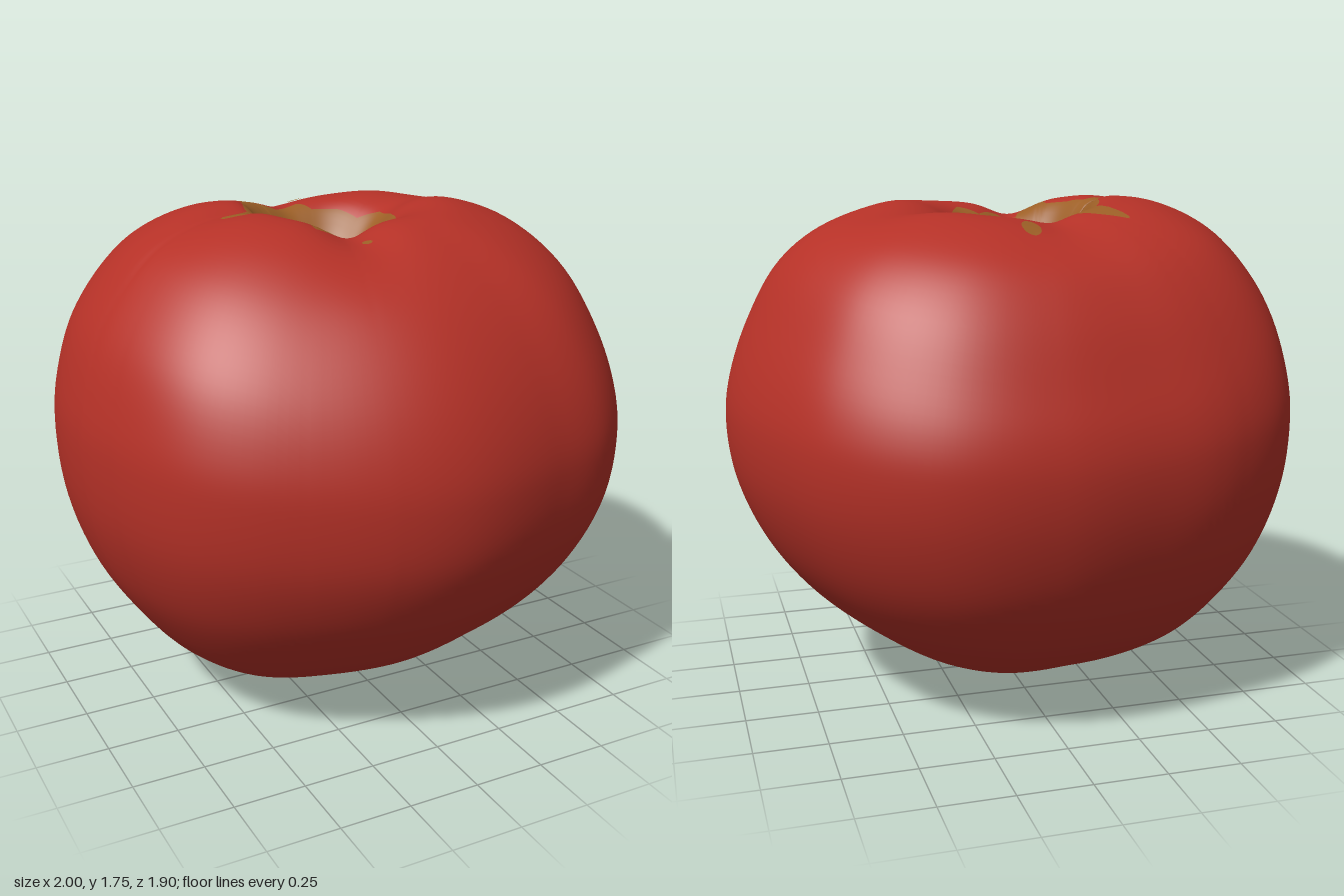
import * as THREE from 'three';

const PIT = [-0.04, -0.06];   // centre of the stem hollow (x, z)
const BASE = [-0.08, 0];      // lowest point (x, z)
const COLS = 180, PIT_ROWS = 16, SKIN_ROWS = 80;

// widest outline of the fruit seen from above (x, z)
const OUTLINE = [
  [1, -0.1], [0.96, 0.21], [0.83, 0.55], [0.62, 0.78], [0.35, 0.88], [-0.03, 0.95],
  [-0.45, 0.84], [-0.8, 0.6], [-0.96, 0.27], [-1, -0.08], [-0.93, -0.37], [-0.8, -0.63],
  [-0.56, -0.8], [-0.24, -0.9], [0.08, -0.95], [0.46, -0.9], [0.75, -0.7], [0.9, -0.45],
];

// ragged edge of the brown scar around the stem hollow (x, z)
const SCAR = [
  [0.22, 0], [0.17, 0.11], [0.13, 0.19], [0.05, 0.18], [-0.02, 0.22], [-0.1, 0.21],
  [-0.12, 0.25], [-0.21, 0.26], [-0.2, 0.17], [-0.26, 0.1], [-0.3, 0.045], [-0.45, 0.055],
  [-0.45, 0.03], [-0.33, -0.01], [-0.3, -0.12], [-0.25, -0.24], [-0.32, -0.41],
  [-0.235, -0.36], [-0.16, -0.29], [-0.1, -0.29], [0, -0.33], [0.04, -0.28],
  [0.13, -0.24], [0.17, -0.17], [0.24, -0.13],
];

// meridian: share of the outline radius, and heights towards each side
const SHARE = [0, 0.1, 0.19, 0.28, 0.4, 0.55, 0.7, 0.82, 0.92, 0.98, 1,
  0.98, 0.9, 0.78, 0.62, 0.42, 0.2, 0];
const LEFT = [1.43, 1.47, 1.6, 1.7, 1.74, 1.71, 1.64, 1.53, 1.345, 1.17, 1.03,
  0.83, 0.615, 0.435, 0.28, 0.135, 0.035, 0];
const RIGHT = [1.43, 1.47, 1.62, 1.74, 1.75, 1.715, 1.64, 1.53, 1.385, 1.2, 1.05,
  0.8, 0.57, 0.385, 0.21, 0.095, 0.03, 0];
const FRONT = [1.43, 1.46, 1.59, 1.7, 1.71, 1.65, 1.54, 1.41, 1.25, 1.09, 0.95,
  0.75, 0.57, 0.41, 0.265, 0.145, 0.05, 0];
const BACK = [1.43, 1.48, 1.61, 1.69, 1.685, 1.64, 1.55, 1.41, 1.22, 1.08, 0.96,
  0.78, 0.56, 0.39, 0.25, 0.13, 0.04, 0];

// shallow grooves between the lobes: direction, depth, angular width
const GROOVES = [
  [Math.atan2(1, -0.15), 0.05, 0.3], [Math.atan2(-1, -0.08), 0.02, 0.3],
  [Math.atan2(-0.18, 0.8), 0.035, 0.3], [Math.atan2(0.12, -0.6), 0.02, 0.22],
];

// radius around the hollow as a periodic function of the angle
function polar(points, smooth) {
  const TAU = Math.PI * 2;
  const list = points.map(([x, z]) => {
    const dx = x - PIT[0], dz = z - PIT[1];
    return [(Math.atan2(dz, dx) + TAU) % TAU, Math.hypot(dx, dz)];
  }).sort((p, q) => p[0] - q[0]);
  const n = list.length;
  const at = (i) => {
    const turn = Math.floor(i / n), p = list[i - turn * n];
    return [p[0] + turn * TAU, p[1]];
  };
  const slope = (i) => (at(i + 1)[1] - at(i - 1)[1]) / (at(i + 1)[0] - at(i - 1)[0]);
  return (angle) => {
    const a = ((angle % TAU) + TAU) % TAU;
    let i = -1;
    while (at(i + 1)[0] <= a) i++;
    const [a0, r0] = at(i), [a1, r1] = at(i + 1);
    const h = a1 - a0, u = (a - a0) / h;
    if (!smooth) return r0 + (r1 - r0) * u;
    const u2 = u * u, u3 = u2 * u;
    return r0 * (2 * u3 - 3 * u2 + 1) + r1 * (3 * u2 - 2 * u3)
      + h * slope(i) * (u3 - 2 * u2 + u) + h * slope(i + 1) * (u3 - u2);
  };
}

const outlineRadius = polar(OUTLINE, true);
const scarRadius = polar(SCAR, false);

// section curve (share, height) in one direction, from hollow to base
function meridian(a) {
  const c = Math.cos(a), s = Math.sin(a);
  const [wx, wz] = [c * c, s * s];
  const sideX = c > 0 ? LEFT : RIGHT, sideZ = s > 0 ? FRONT : BACK;
  return new THREE.CatmullRomCurve3(SHARE.map((f, i) => {
    let y = sideX[i] * wx + sideZ[i] * wz;
    if (i < 10) {
      for (const [dir, depth, width] of GROOVES) {
        const d = Math.atan2(Math.sin(a - dir), Math.cos(a - dir)) / width;
        y -= depth * Math.exp(-d * d) * Math.exp(-(((f - 0.36) / 0.22) ** 2));
      }
    }
    return new THREE.Vector3(f, y, 0);
  }));
}

// curve parameter on the upper half where the share is f
function findShare(curve, f) {
  let lo = 0, hi = 10 / (SHARE.length - 1);
  for (let k = 0; k < 24; k++) {
    const mid = (lo + hi) / 2;
    if (curve.getPoint(mid).x < f) lo = mid; else hi = mid;
  }
  return (lo + hi) / 2;
}

// one surface point
function place(a, curve, t) {
  const { x: f, y } = curve.getPoint(t);
  const c = t * (SHARE.length - 1) < 10 ? PIT : BASE;
  const r = outlineRadius(a);
  const ox = PIT[0] + r * Math.cos(a), oz = PIT[1] + r * Math.sin(a);
  return [c[0] + (ox - c[0]) * f, y, c[1] + (oz - c[1]) * f];
}

// whole skin; a row of vertices follows the scar edge
function fruitGeometry() {
  const rows = PIT_ROWS + SKIN_ROWS, pos = [], index = [];
  const columns = Array.from({ length: COLS }, (_, j) => {
    const a = (j / COLS) * Math.PI * 2, curve = meridian(a);
    return { a, curve, edge: findShare(curve, scarRadius(a) / outlineRadius(a)) };
  });
  pos.push(PIT[0], SHARE[0] + LEFT[0], PIT[1]);
  for (let i = 1; i < rows; i++) {
    for (const { a, curve, edge } of columns) {
      const t = i <= PIT_ROWS ? edge * i / PIT_ROWS
        : edge + (1 - edge) * (i - PIT_ROWS) / SKIN_ROWS;
      pos.push(...place(a, curve, t));
    }
  }
  const last = pos.length / 3;
  pos.push(BASE[0], 0, BASE[1]);
  const id = (i, j) => (i === 0 ? 0 : i === rows ? last : 1 + (i - 1) * COLS + (j % COLS));
  let scarCount = 0;
  for (let i = 0; i < rows; i++) {
    for (let j = 0; j < COLS; j++) {
      const p = id(i, j), q = id(i, j + 1), r = id(i + 1, j), s = id(i + 1, j + 1);
      if (i > 0) index.push(p, q, r);
      if (i === 0) index.push(p, s, r);
      else if (i < rows - 1) index.push(q, s, r);
    }
    if (i === PIT_ROWS - 1) scarCount = index.length;
  }
  const g = new THREE.BufferGeometry();
  g.setAttribute('position', new THREE.Float32BufferAttribute(pos, 3));
  g.setIndex(index);
  g.addGroup(0, scarCount, 1);
  g.addGroup(scarCount, index.length - scarCount, 0);
  g.computeVertexNormals();
  return g;
}

// small loose fleck laid on the skin
function fleckGeometry(x, z, rx, rz, tilt) {
  const g = new THREE.CircleGeometry(1, 20);
  g.rotateX(-Math.PI / 2).scale(rx, 1, rz).rotateY(tilt).translate(x, 0, z);
  const p = g.attributes.position;
  for (let i = 0; i < p.count; i++) {
    const dx = p.getX(i) - PIT[0], dz = p.getZ(i) - PIT[1];
    const a = Math.atan2(dz, dx), curve = meridian(a);
    const t = findShare(curve, Math.hypot(dx, dz) / outlineRadius(a));
    p.setY(i, curve.getPoint(t).y + 0.005);
  }
  g.computeVertexNormals();
  return g;
}

export function createModel() {
  const red = new THREE.MeshStandardMaterial({ color: 0xb53127 });
  red.name = 'red skin';
  const brown = new THREE.MeshStandardMaterial({ color: 0x9c5f26 });
  brown.name = 'brown scar';

  const model = new THREE.Group();
  model.name = 'fruit';
  const add = (name, geometry, material) => {
    const mesh = new THREE.Mesh(geometry, material);
    mesh.name = name;
    model.add(mesh);
  };
  add('fruitBody', fruitGeometry(), [red, brown]);
  add('backFleck', fleckGeometry(0.045, -0.46, 0.032, 0.065, -0.2), brown);
  add('frontFleck', fleckGeometry(-0.07, 0.35, 0.018, 0.015, 0), brown);
  return model;
}
